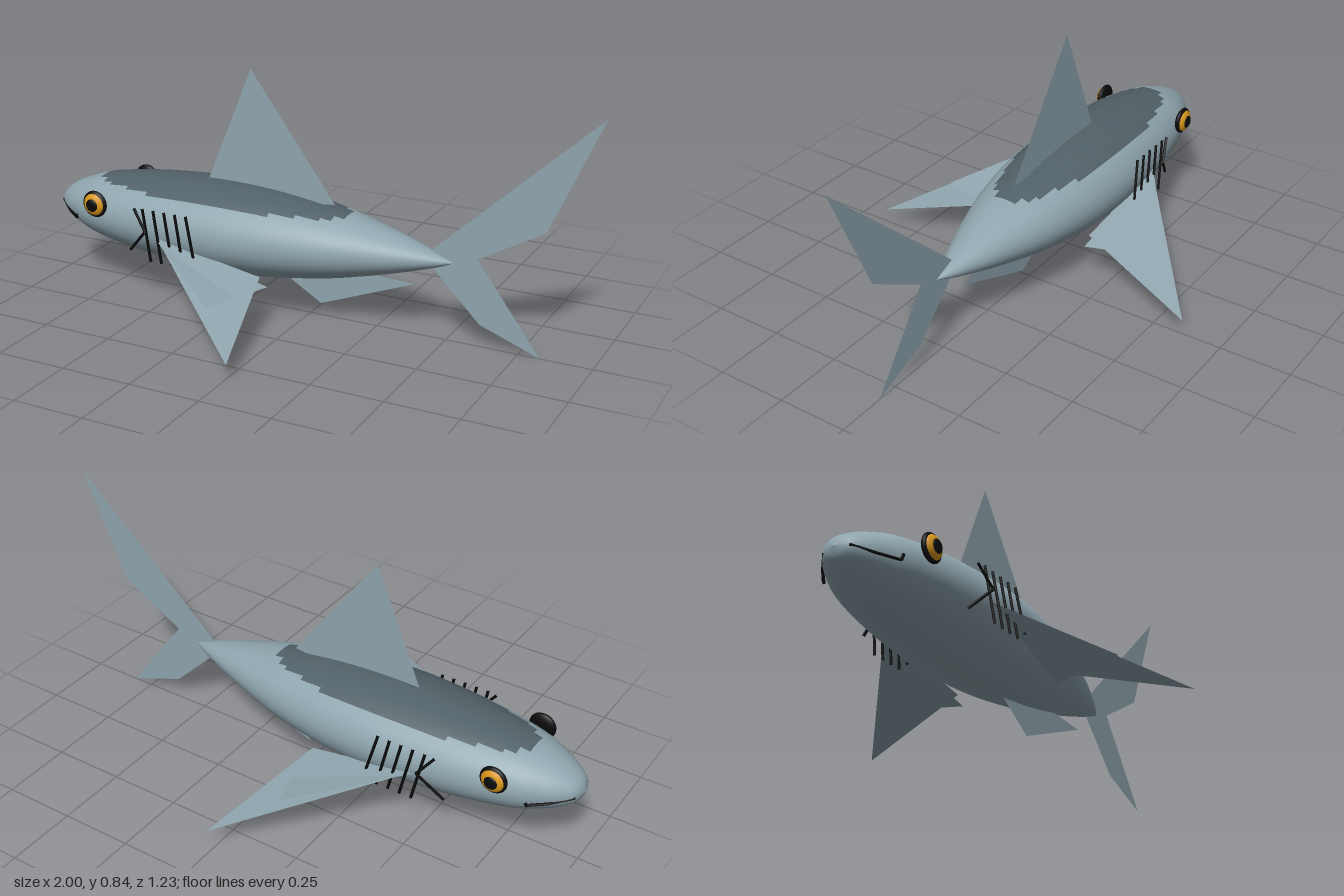
import * as THREE from 'three';

const V = (x, y, z = 0) => new THREE.Vector3(x, y, z);
const paint = (name, color) => {
  const m = new THREE.MeshStandardMaterial({ color });
  m.name = name;
  return m;
};

export function createModel() {
  const shark = new THREE.Group();
  shark.name = 'shark';
  const skin = paint('blue grey skin', 0x8fa5ae);
  const back = paint('dark grey back', 0x526168);
  const gold = paint('gold iris', 0xd9961a);
  const black = paint('black', 0x0a0a0a);
  const finSkin = paint('fin skin', 0x8fa5ae);
  finSkin.side = THREE.DoubleSide;

  const add = (parent, name, geometry, material) => {
    const mesh = new THREE.Mesh(geometry, material);
    mesh.name = name;
    parent.add(mesh);
    return mesh;
  };

  // Body: a lathed spindle along x, wider than it is tall
  const profile = new THREE.SplineCurve([
    [0, -1], [0.22, -0.985], [0.38, -0.95], [0.53, -0.9], [0.73, -0.8], [0.91, -0.6], [1, -0.35],
    [0.96, -0.15], [0.85, 0], [0.71, 0.13], [0.45, 0.3], [0.27, 0.4], [0.13, 0.47], [0, 0.52],
  ].map(([r, x]) => new THREE.Vector2(r, x))).getSpacedPoints(48);
  profile.forEach((p) => { p.x = Math.max(0, p.x); });
  const body = new THREE.LatheGeometry(profile, 64);
  body.rotateZ(-Math.PI / 2).scale(1, 0.157, 0.21).translate(0, 0.278, 0);

  // Dark back: every face above a set height takes the second colour
  const index = body.index.array, pos = body.attributes.position;
  const light = [], dark = [];
  for (let i = 0; i < index.length; i += 6) {
    const quad = Array.from(index.slice(i, i + 6));
    const height = quad.reduce((sum, v) => sum + pos.getY(v), 0) / 6;
    (height > 0.385 ? dark : light).push(...quad);
  }
  body.setIndex([...light, ...dark]);
  body.addGroup(0, light.length, 0);
  body.addGroup(light.length, dark.length, 1);
  add(shark, 'body', body, [skin, back]);

  // Fins: thin sheets, fanned from the first corner
  const fin = (name, corners) => {
    const g = new THREE.BufferGeometry().setFromPoints(corners);
    const faces = [];
    for (let i = 1; i < corners.length - 1; i++) faces.push(0, i, i + 1);
    g.setIndex(faces);
    g.computeVertexNormals();
    add(shark, name, g, finSkin);
  };
  fin('dorsalFin', [V(-0.225, 0.84), V(-0.4, 0.42), V(-0.15, 0.38), V(0.09, 0.41)]);
  fin('upperTailFin', [V(0.43, 0.285), V(0.6, 0.305), V(0.825, 0.435), V(0.995, 0.825), V(0.44, 0.31)]);
  fin('lowerTailFin', [V(0.43, 0.285), V(0.445, 0.25), V(0.615, 0.08), V(0.825, 0.003), V(0.6, 0.305)]);
  fin('bellyFin', [V(0.04, 0.045), V(0.385, 0.18), V(0.17, 0.19), V(-0.12, 0.14)]);

  for (const s of [1, -1]) {
    const side = s > 0 ? 'left' : 'right';

    // Paired fins
    fin(side + 'PectoralFin', [V(-0.49, 0.26, 0.2 * s), V(0.02, 0.07, 0.617 * s), V(-0.1, 0.18, 0.18 * s)]);
    fin(side + 'PelvicFin', [V(-0.5, 0.26, 0.2 * s), V(-0.15, 0.16, 0.445 * s), V(-0.07, 0.15, 0.18 * s)]);

    // Eye: black socket, gold iris, black pupil
    const eye = new THREE.Group();
    eye.name = side + 'Eye';
    eye.position.set(-0.762, 0.33, 0.168 * s);
    if (s < 0) eye.rotation.y = Math.PI;
    shark.add(eye);
    add(eye, 'socket', new THREE.SphereGeometry(0.048, 24, 16).scale(1, 1, 0.35), black);
    add(eye, 'iris', new THREE.SphereGeometry(0.041, 24, 16).scale(1, 1, 0.5).translate(0, 0, 0.004), gold);
    add(eye, 'pupil', new THREE.SphereGeometry(0.023, 20, 12).scale(1, 1, 0.3).translate(0, 0, 0.021), black);

    // Thin black line through a few points
    const line = (name, points) => {
      const path = new THREE.CurvePath();
      for (let i = 0; i < points.length - 1; i++) path.add(new THREE.LineCurve3(points[i], points[i + 1]));
      add(shark, name, new THREE.TubeGeometry(path, 12, 0.005, 6), black);
    };

    // Gill slits and the crease in front of them
    for (let i = 0; i < 5; i++) {
      const x = -0.54 + i * 0.043;
      line(side + 'GillSlit' + (i + 1), [V(x, 0.36, 0.207 * s), V(x + 0.037, i === 4 ? 0.21 : 0.178, 0.221 * s)]);
    }
    line(side + 'UpperCrease', [V(-0.575, 0.355, 0.205 * s), V(-0.52, 0.285, 0.225 * s)]);
    line(side + 'LowerCrease', [V(-0.52, 0.285, 0.225 * s), V(-0.605, 0.195, 0.19 * s)]);

    // Mouth
    line(side + 'Mouth', [V(-0.985, 0.275, 0.045 * s), V(-0.92, 0.26, 0.1 * s), V(-0.865, 0.254, 0.138 * s)]);
    line(side + 'MouthCorner', [V(-0.865, 0.252, 0.137 * s), V(-0.863, 0.272, 0.145 * s)]);
  }
  return shark;
}
